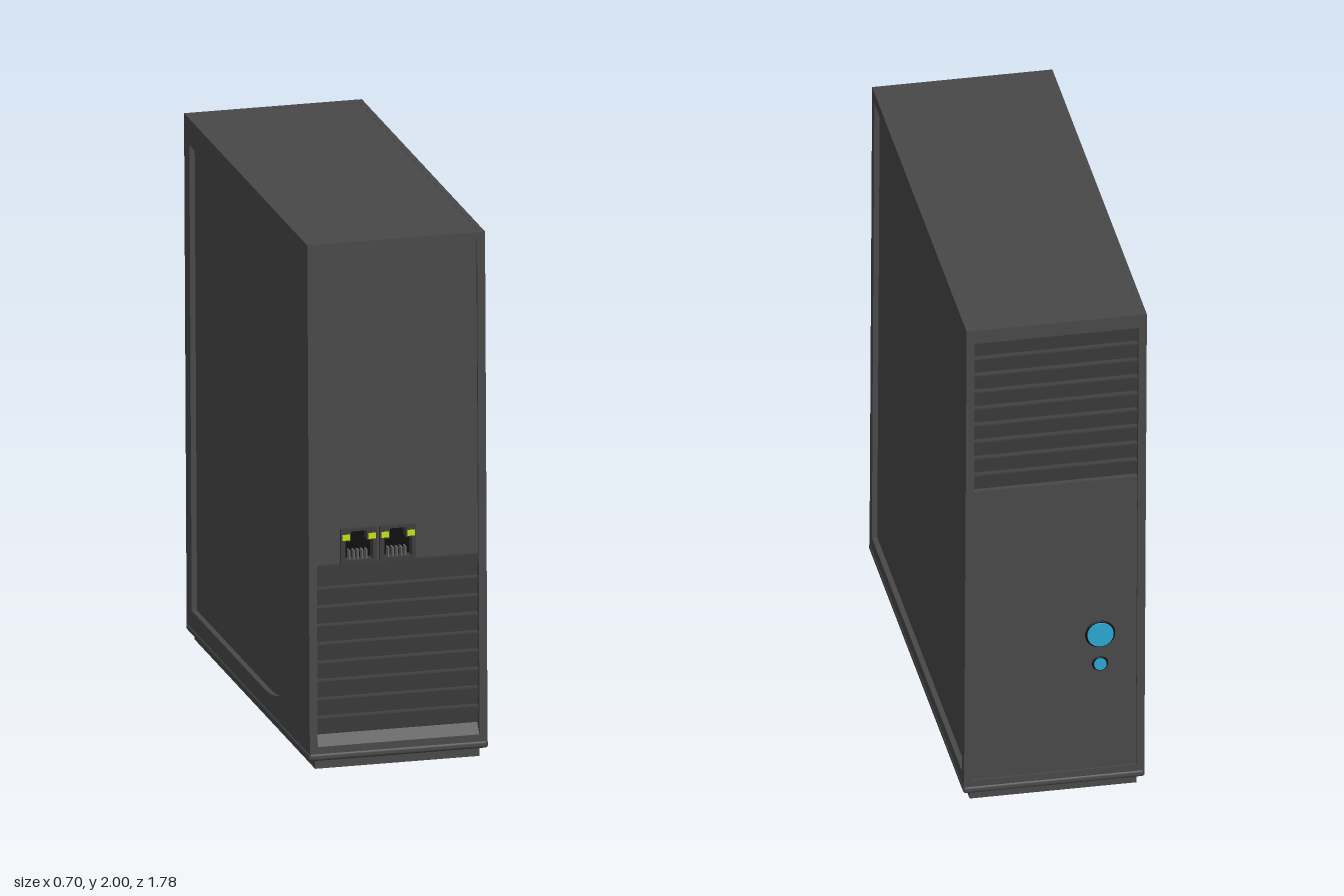
import * as THREE from 'three';
import { RoundedBoxGeometry } from 'three/addons/geometries/RoundedBoxGeometry.js';

const mat = (color) => new THREE.MeshStandardMaterial({ color });
const caseMat = mat(0x484848);
const slatMat = mat(0x424242);
const darkMat = mat(0x0c0c0c);
const shellMat = mat(0x3c3c3c);
const pinMat = mat(0x666666);
const lampMat = mat(0xc8e010);
const blueMat = mat(0x2aa5d0);

const HX = 0.335, HZ = 0.885, Y0 = 0.05, Y1 = 2.0;   // outer half sizes and height range
const SIDE = 0.02, END = 0.04;                       // wall thickness of sides and ends

function add(parent, name, geometry, material, x = 0, y = 0, z = 0) {
  const mesh = new THREE.Mesh(geometry, material);
  mesh.name = name;
  mesh.position.set(x, y, z);
  parent.add(mesh);
  return mesh;
}

const box = (w, h, d) => new THREE.BoxGeometry(w, h, d);

function outline(points, Type = THREE.Shape) {
  return new Type(points.map(([x, y]) => new THREE.Vector2(x, y)));
}

const rect = (x0, y0, x1, y1, Type) => outline([[x0, y0], [x1, y0], [x1, y1], [x0, y1]], Type);

function plate(shape, holes, depth) {
  shape.holes.push(...holes);
  return new THREE.ExtrudeGeometry(shape, { depth, bevelEnabled: false, curveSegments: 24 });
}

// A wall is drawn facing +z, then turned to its side of the case
function wall(parent, name, angle) {
  const group = new THREE.Group();
  group.name = name;
  group.rotation.y = angle;
  parent.add(group);
  return group;
}

// Sloping slats: the upper edge stands out, the lower edge leans in
function louvres(parent, edges) {
  const inner = HZ - END, outer = HZ - 0.012;
  for (let i = 0; i + 1 < edges.length; i++) {
    const top = edges[i], low = edges[i + 1];
    const profile = outline([[0, low], [0.01, low], [outer - inner, top - 0.006], [outer - inner, top], [0, top]]);
    const slat = plate(profile, [], 0.61);
    slat.rotateY(-Math.PI / 2);          // profile x becomes +z, length runs along x
    add(parent, 'louvreSlat', slat, slatMat, 0.305, 0, inner);
  }
}

// Network socket with a stepped opening, two lamps and contact pins
function socket(parent, x) {
  const port = new THREE.Group();
  port.name = 'networkPort';
  port.position.set(x, 0.78, HZ - END);
  parent.add(port);
  const opening = outline([[-0.052, 0.012], [0.052, 0.012], [0.052, 0.085], [0.03, 0.085],
    [0.03, 0.122], [-0.03, 0.122], [-0.03, 0.085], [-0.052, 0.085]], THREE.Path);
  add(port, 'portShell', plate(rect(-0.068, 0, 0.068, 0.132), [opening], 0.046), shellMat);
  add(port, 'portCavity', box(0.12, 0.12, 0.004), darkMat, 0, 0.066, 0.003);
  for (const s of [-1, 1]) add(port, 'portLamp', box(0.028, 0.022, 0.004), lampMat, s * 0.049, 0.1, 0.046);
  for (let i = 0; i < 5; i++) add(port, 'portPin', box(0.006, 0.035, 0.03), pinMat, (i - 2) * 0.016, 0.028, 0.02);
}

export function createModel() {
  const model = new THREE.Group();
  model.name = 'computerTower';
  const tower = new THREE.Group();
  tower.name = 'case';
  tower.rotation.set(0, -0.007, 0.005);   // stands very slightly askew
  tower.position.x = 0.004;
  model.add(tower);

  // Inner core, rounded bottom lip and recessed foot
  add(tower, 'core', box(2 * (HX - SIDE), Y1 - Y0 - 0.002, 2 * (HZ - END)), caseMat, 0, (Y0 + Y1) / 2, 0);
  add(tower, 'bottomLip', new RoundedBoxGeometry(2 * HX + 0.006, 0.03, 2 * HZ + 0.008, 3, 0.012), caseMat, 0, 0.052, 0);
  add(tower, 'foot', box(0.62, 0.038, 1.73), caseMat, 0, 0.022, 0);

  // Left side (+x): frame around a rectangular sunken panel
  const left = wall(tower, 'leftSide', Math.PI / 2);
  add(left, 'leftFrame', plate(rect(-HZ, Y0, HZ, Y1), [rect(-0.842, 0.11, 0.842, 1.955, THREE.Path)], SIDE),
    caseMat, 0, 0, HX - SIDE);

  // Right side (-x): sunken panel with a large sweep at the lower front corner
  const right = wall(tower, 'rightSide', -Math.PI / 2);
  const sweep = new THREE.Path();
  sweep.moveTo(-0.81, 0.13);
  sweep.lineTo(0.24, 0.13);
  sweep.bezierCurveTo(0.54, 0.13, 0.78, 0.33, 0.78, 0.62);
  sweep.lineTo(0.78, 1.9);
  sweep.lineTo(-0.81, 1.9);
  sweep.closePath();
  add(right, 'rightFrame', plate(rect(-HZ, Y0, HZ, Y1), [sweep], SIDE), caseMat, 0, 0, HX - SIDE);

  // Front and back frames
  const front = wall(tower, 'front', 0);
  const back = wall(tower, 'back', Math.PI);
  const inset = HX - SIDE;
  for (const [end, top] of [[front, 1.975], [back, 1.945]]) {
    add(end, 'endFrame', plate(rect(-inset, Y0, inset, Y1), [rect(-0.305, 0.09, 0.305, top, THREE.Path)], END),
      caseMat, 0, 0, HZ - END);
  }

  // Front: upper panel with two sockets, louvres and sloping sill below
  const ports = [-0.147, 0.0];
  const cutouts = ports.map((x) => rect(x - 0.066, 0.782, x + 0.066, 0.91, THREE.Path));
  add(front, 'frontPanel', plate(rect(-0.305, 0.78, 0.305, 1.975), cutouts, 0.03), caseMat, 0, 0, HZ - END);
  ports.forEach((x) => socket(front, x));
  const frontEdges = [0.78];
  for (let i = 0; i < 9; i++) frontEdges.push(0.69 - i * 0.07);
  louvres(front, frontEdges);
  const sill = plate(outline([[0, 0.09], [0.036, 0.09], [0.004, 0.13], [0, 0.13]]), [], 0.61);
  sill.rotateY(-Math.PI / 2);
  add(front, 'sill', sill, caseMat, 0.305, 0, HZ - END);

  // Back: louvres at the top, plain panel with two round buttons below
  louvres(back, Array.from({ length: 10 }, (_, i) => 1.945 - i * 0.0706));
  add(back, 'backPanel', box(0.61, 1.22, 0.03), caseMat, 0, 0.7, HZ - END + 0.015);
  for (const [y, r] of [[0.655, 0.05], [0.53, 0.024]]) {
    const z = HZ - END + 0.03;
    const ring = add(back, 'buttonRing', new THREE.TorusGeometry(r, 0.006, 8, 32), darkMat, 0.17, y, z);
    ring.scale.z = 0.6;
    const button = add(back, 'button', new THREE.CylinderGeometry(r * 0.96, r, 0.014, 32), blueMat, 0.17, y, z + 0.003);
    button.rotation.x = Math.PI / 2;
  }
  return model;
}
